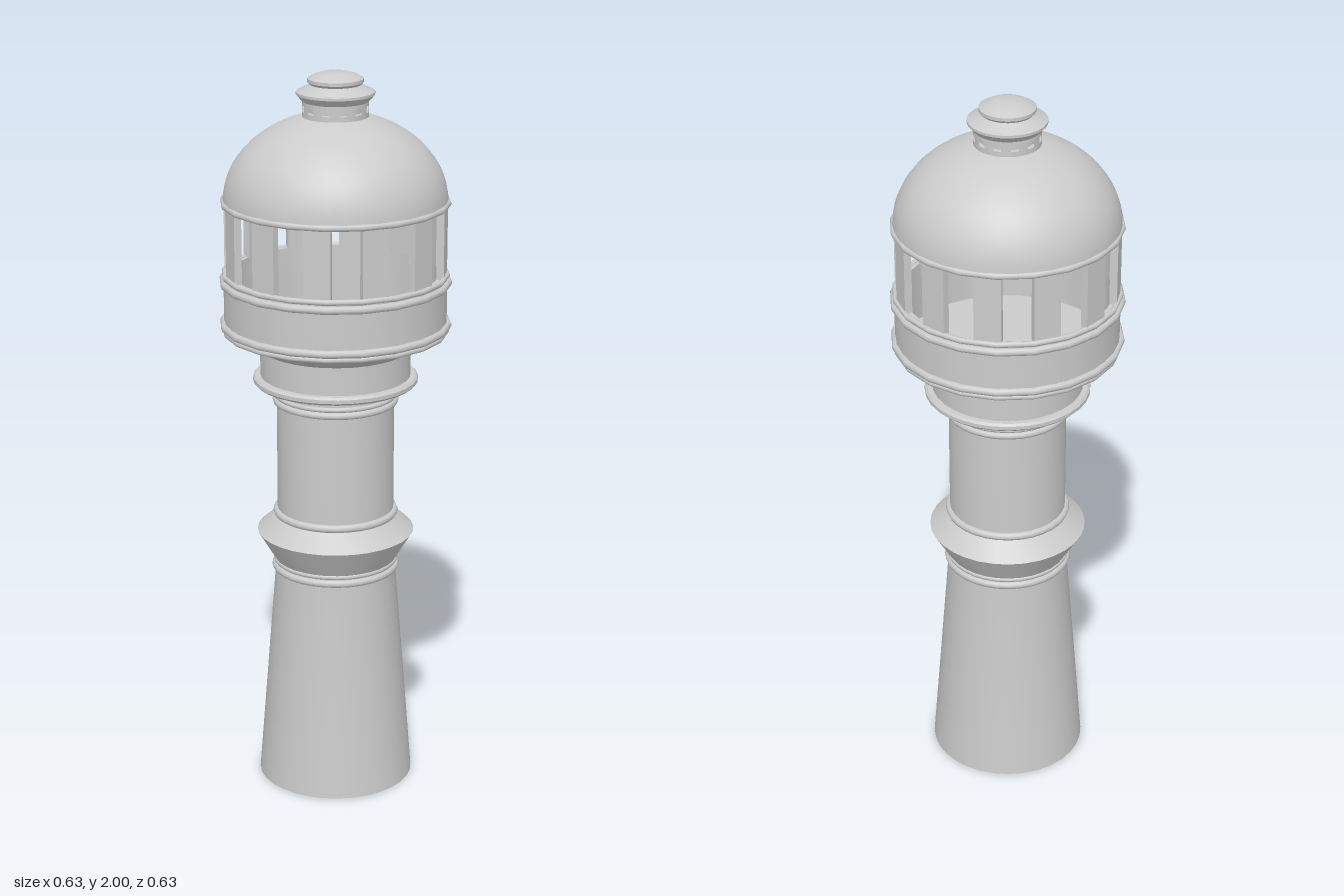
import * as THREE from 'three';
import { toCreasedNormals } from 'three/addons/utils/BufferGeometryUtils.js';

const material = new THREE.MeshStandardMaterial({ color: 0xcccccc, side: THREE.DoubleSide });

export function createModel() {
  const model = new THREE.Group();

  const add = (name, geometry) => {
    const mesh = new THREE.Mesh(geometry, material);
    mesh.name = name;
    model.add(mesh);
    return mesh;
  };
  // Turned part from [radius, height] pairs, bottom to top
  const turned = (name, profile, segments = 32) => add(name, toCreasedNormals(
    new THREE.LatheGeometry(profile.map(([r, y]) => new THREE.Vector2(r, y)), segments), 0.5));
  // Round moulding: outer radius, height, thickness
  const ring = (name, outer, y, tube, segments = 32) => {
    const mesh = add(name, new THREE.TorusGeometry(outer - tube, tube, 8, segments));
    mesh.rotation.x = Math.PI / 2;
    mesh.position.y = y;
  };

  // Tapered base and double-cone collar
  turned('base', [[0, 0], [0.215, 0], [0.166, 0.62], [0.166, 0.65]]);
  ring('baseRing', 0.176, 0.626, 0.011);
  ring('baseUpperRing', 0.172, 0.645, 0.007);
  turned('collar', [[0.165, 0.645], [0.216, 0.73], [0.165, 0.775]]);

  // Straight shaft with its mouldings
  turned('shaft', [[0.16, 0.77], [0.16, 1.16]]);
  ring('shaftLowerRing', 0.172, 0.785, 0.011);
  ring('shaftUpperRing', 0.172, 1.107, 0.01);
  ring('shaftTopRing', 0.169, 1.124, 0.007);
  turned('shaftCap', [[0.16, 1.14], [0.168, 1.14], [0.168, 1.156]]);

  // Ledge, drum and flaring underside of the lookout
  turned('ledge', [[0.15, 1.156], [0.218, 1.156], [0.224, 1.162], [0.224, 1.172], [0.218, 1.178], [0.2, 1.178]]);
  turned('drum', [[0.204, 1.175], [0.204, 1.255]]);
  turned('flare', [[0.204, 1.255], [0.3, 1.305]]);

  // Parapet: outer wall, rim, inner wall and sunken floor
  turned('parapet', [[0.3, 1.3], [0.3, 1.462], [0.28, 1.462], [0.28, 1.295], [0, 1.295]]);
  ring('parapetLowerRing', 0.313, 1.322, 0.011, 20);
  ring('parapetBottomRing', 0.306, 1.305, 0.008, 20);
  ring('parapetUpperRing', 0.313, 1.44, 0.011, 20);
  ring('parapetRimRing', 0.307, 1.46, 0.008, 20);

  // Window pillars
  const pillars = new THREE.Group();
  pillars.name = 'pillars';
  const pillarGeometry = new THREE.BoxGeometry(0.072, 0.2, 0.02);
  for (let i = 0; i < 12; i++) {
    const angle = (7.5 + 30 * i) * Math.PI / 180;
    const pillar = new THREE.Mesh(pillarGeometry, material);
    pillar.name = 'pillar';
    pillar.position.set(0.286 * Math.sin(angle), 1.557, 0.286 * Math.cos(angle));
    pillar.rotation.y = angle;
    pillars.add(pillar);
  }
  model.add(pillars);

  // Hollow dome with an eaves ring
  const domeProfile = [];
  for (let i = 0; i <= 16; i++) {
    const t = i / 16 * Math.PI / 2;
    domeProfile.push([0.3 * Math.cos(t), 1.655 + 0.24 * Math.sin(t)]);
  }
  turned('dome', domeProfile, 40);
  ring('eavesRing', 0.308, 1.656, 0.009, 20);

  // Vent: two bands joined by twelve curved posts, leaving small openings
  turned('ventLowerBand', [[0.088, 1.875], [0.088, 1.898], [0.075, 1.898]]);
  turned('ventUpperBand', [[0.075, 1.915], [0.088, 1.915], [0.088, 1.93]]);
  turned('ventCore', [[0.075, 1.88], [0.075, 1.93]]);
  for (let i = 0; i < 12; i++) {
    const post = add('ventPost', new THREE.CylinderGeometry(
      0.088, 0.088, 0.018, 4, 1, true, (i + 0.22) * Math.PI / 6, 0.56 * Math.PI / 6));
    post.position.y = 1.9065;
  }

  // Flanged vent roof and cap
  turned('ventRoof', [[0.088, 1.925], [0.104, 1.943], [0.104, 1.95], [0.075, 1.964], [0.066, 1.97]]);
  turned('cap', [[0.066, 1.966], [0.074, 1.975], [0.074, 1.984], [0.058, 1.993], [0.035, 2], [0, 2]]);

  return model;
}
